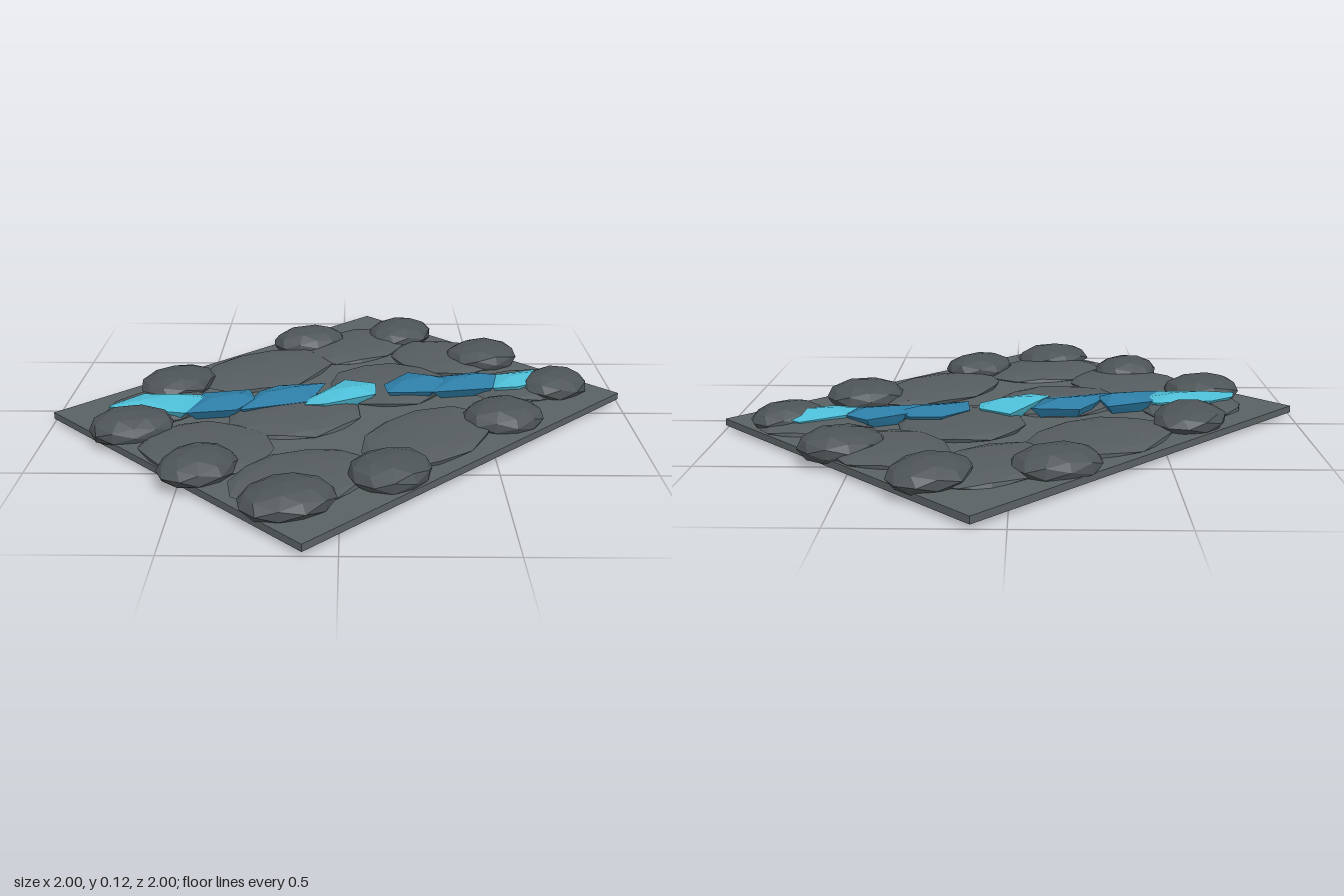
import * as THREE from 'three';
import { ConvexGeometry } from 'three/addons/geometries/ConvexGeometry.js';

const mat = (name, color) => {
  const m = new THREE.MeshStandardMaterial({ color, flatShading: true });
  m.name = name;
  return m;
};

// Faceted ellipsoid with a little position-based unevenness, so shared corners stay joined
function stoneGeometry(seed, rough) {
  const geo = new THREE.IcosahedronGeometry(1, 1);
  const p = geo.attributes.position;
  const v = new THREE.Vector3();
  for (let i = 0; i < p.count; i++) {
    v.fromBufferAttribute(p, i);
    const n = Math.sin(v.x * 5.1 + seed * 2.3) + Math.sin(v.y * 4.3 + seed * 1.7) + Math.sin(v.z * 5.7 + seed * 3.1);
    v.multiplyScalar(1 + rough * n / 3);
    p.setXYZ(i, v.x, v.y, v.z);
  }
  geo.computeVertexNormals();
  return geo;
}

export function createModel() {
  const model = new THREE.Group();
  model.name = 'crackedGroundTile';
  const plateMat = mat('slate grey', 0x5a6164);
  const slabMat = mat('stone grey', 0x555c5f);
  const rockMat = mat('dark rock grey', 0x4d5457);
  const blueMat = mat('deep blue', 0x2d7da6);
  const cyanMat = mat('bright cyan', 0x4dbdd6);

  // Thin base plate, turned 45 degrees
  const plate = new THREE.Mesh(new THREE.BoxGeometry(1.556, 0.024, 1.273), plateMat);
  plate.name = 'basePlate';
  plate.position.y = 0.033;
  plate.rotation.y = Math.PI / 4;
  model.add(plate);

  const addStones = (name, list, y, ry, rough, material) => list.forEach(([x, z, a, b, turn], i) => {
    const stone = new THREE.Mesh(stoneGeometry(i + 1, rough), material);
    stone.name = name + (i + 1);
    stone.position.set(x, y, z);
    stone.scale.set(a, ry, b);
    stone.rotation.y = turn;
    model.add(stone);
  });

  // Broad flat slabs: x, z, half length, half width, turn
  addStones('slab', [
    [-0.29, -0.31, 0.28, 0.19, 0.7],
    [0.06, -0.59, 0.25, 0.17, 0.8],
    [0.39, -0.45, 0.21, 0.19, -0.6],
    [0.17, -0.16, 0.22, 0.21, 0.5],
    [0.66, -0.16, 0.21, 0.15, 0.3],
    [-0.16, 0.13, 0.24, 0.2, 0.4],
    [0.28, 0.3, 0.28, 0.18, 0.9],
    [-0.43, 0.4, 0.22, 0.2, -0.5],
    [-0.12, 0.6, 0.24, 0.18, 0.6],
    [-0.64, 0.06, 0.2, 0.15, 0.7],
  ], 0.05, 0.028, 0.06, slabMat);

  // Rounded rocks around the rim
  addStones('rimRock', [
    [0.23, -0.71, 0.145, 0.12, 0.9],
    [-0.14, -0.61, 0.15, 0.11, 0.4],
    [0.54, -0.44, 0.145, 0.125, 0.4],
    [-0.6, -0.13, 0.15, 0.12, 1.0],
    [0.77, -0.14, 0.13, 0.11, 0.7],
    [0.55, 0.16, 0.145, 0.12, 0.3],
    [0.15, 0.59, 0.14, 0.12, 0.7],
    [-0.15, 0.77, 0.15, 0.12, 0.5],
    [-0.44, 0.555, 0.135, 0.115, 0.8],
    [-0.7, 0.255, 0.145, 0.12, 0.3],
  ], 0.065, 0.056, 0.06, rockMat);

  // Jagged crystal vein: outline corners as x, z pairs
  const crystals = [
    [cyanMat, [-0.79, 0.1, -0.7, 0.02, -0.5, 0.01, -0.46, 0.06, -0.53, 0.18, -0.8, 0.14]],
    [blueMat, [-0.53, 0.18, -0.49, 0.01, -0.33, -0.04, -0.3, 0.07, -0.36, 0.15]],
    [blueMat, [-0.35, 0.15, -0.29, -0.01, -0.23, -0.08, -0.06, -0.09, -0.11, 0.07]],
    [cyanMat, [-0.13, 0.1, -0.11, 0.05, 0.01, -0.14, 0.12, -0.09, 0.12, 0, -0.06, 0.11]],
    [blueMat, [0.15, -0.09, 0.24, -0.2, 0.35, -0.18, 0.4, -0.13, 0.32, -0.02, 0.16, 0]],
    [blueMat, [0.32, -0.02, 0.36, -0.16, 0.49, -0.22, 0.57, -0.18, 0.54, -0.06]],
    [cyanMat, [0.54, -0.06, 0.56, -0.18, 0.71, -0.25, 0.8, -0.21, 0.72, -0.13, 0.63, -0.06]],
  ];
  crystals.forEach(([material, o], k) => {
    const n = o.length / 2;
    let cx = 0, cz = 0;
    for (let i = 0; i < n; i++) { cx += o[2 * i] / n; cz += o[2 * i + 1] / n; }
    const pts = [];
    for (let i = 0; i < n; i++) {
      const dx = o[2 * i] - cx, dz = o[2 * i + 1] - cz;
      pts.push(new THREE.Vector3(cx + dx, 0.078 + 0.006 * (i % 2), cz + dz));
      pts.push(new THREE.Vector3(cx + dx * 0.75, 0.045, cz + dz * 0.75));
    }
    // Ridge across the top
    pts.push(new THREE.Vector3(cx - 0.05, 0.098, cz + 0.02));
    pts.push(new THREE.Vector3(cx + 0.05, 0.102, cz - 0.02));
    const crystal = new THREE.Mesh(new ConvexGeometry(pts), material);
    crystal.name = 'crystal' + (k + 1);
    model.add(crystal);
  });

  return model;
}
